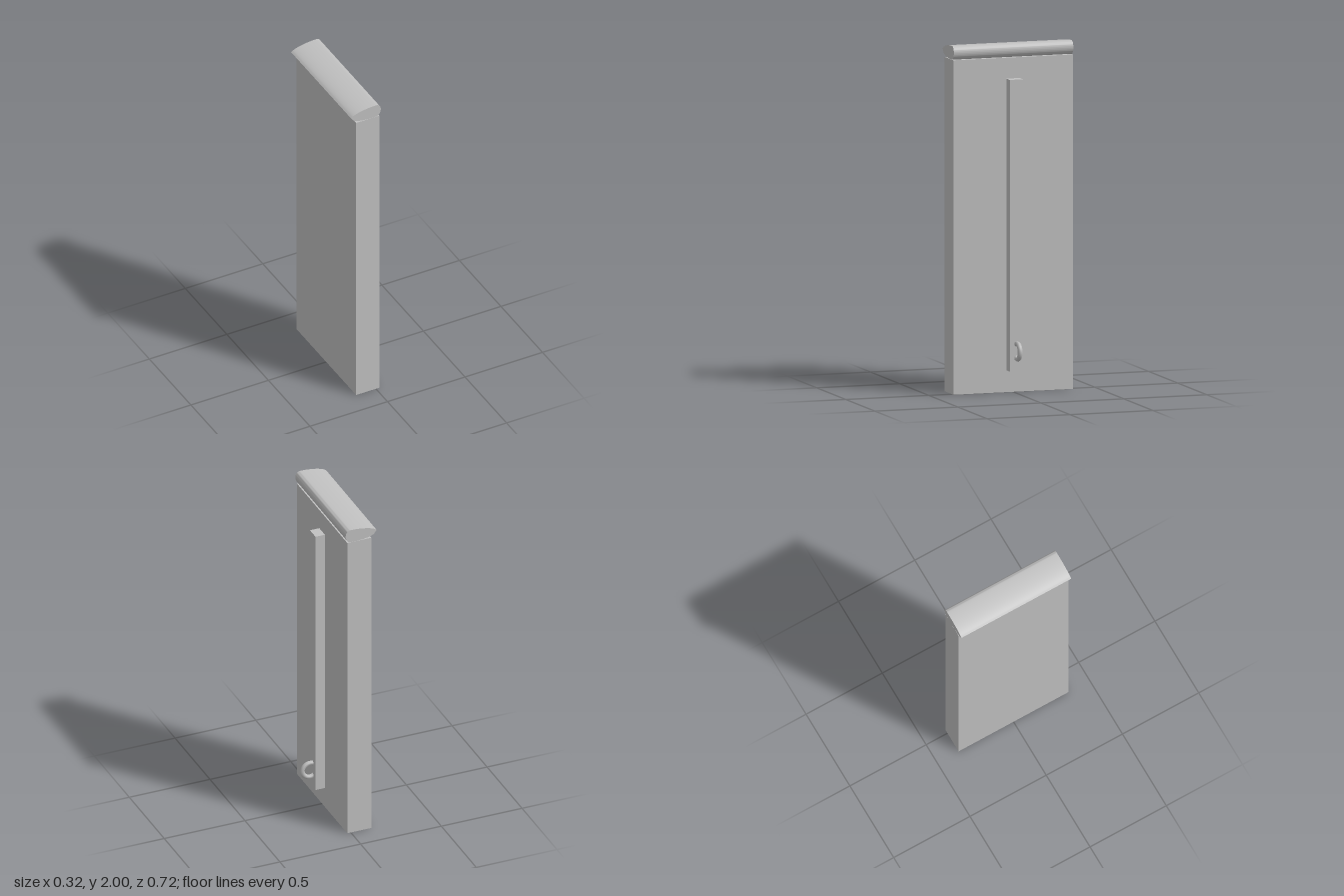
import * as THREE from 'three';
import { toCreasedNormals } from 'three/addons/utils/BufferGeometryUtils.js';

export function createModel() {
  const group = new THREE.Group();
  const grey = new THREE.MeshStandardMaterial({ color: 0xc0c0c0 });
  grey.name = 'light grey';

  const add = (name, geometry) => {
    const mesh = new THREE.Mesh(geometry, grey);
    mesh.name = name;
    group.add(mesh);
    return mesh;
  };

  // Box given by its limits in x and y, centred on z
  const block = (name, x0, x1, y0, y1, depth) =>
    add(name, new THREE.BoxGeometry(x1 - x0, y1 - y0, depth))
      .position.set((x0 + x1) / 2, (y0 + y1) / 2, 0);

  block('panel', -0.127, 0.022, 0, 1.92, 0.72);
  block('rail', 0.022, 0.08, 0.125, 1.8, 0.08);

  // Rounded cap: domed top, full nose on one side, thin lip on the other
  const profile = new THREE.Shape();
  profile.moveTo(-0.16, 1.964);
  profile.bezierCurveTo(-0.14, 1.987, -0.06, 2.0, 0, 2.0);
  profile.bezierCurveTo(0.022, 2.0, 0.032, 1.982, 0.032, 1.963);
  profile.bezierCurveTo(0.032, 1.945, 0.02, 1.921, 0, 1.921);
  profile.lineTo(-0.035, 1.921);
  profile.bezierCurveTo(-0.08, 1.923, -0.125, 1.927, -0.146, 1.945);
  profile.closePath();
  const cap = new THREE.ExtrudeGeometry(profile, { depth: 0.72, bevelEnabled: false, curveSegments: 12 });
  cap.translate(0, 0, -0.36);
  add('cap', toCreasedNormals(cap, 0.5));

  // Pull ring, partly sunk into the rail
  add('pullRing', new THREE.TorusGeometry(0.045, 0.014, 6, 32)).position.set(0.099, 0.242, 0);

  return group;
}
